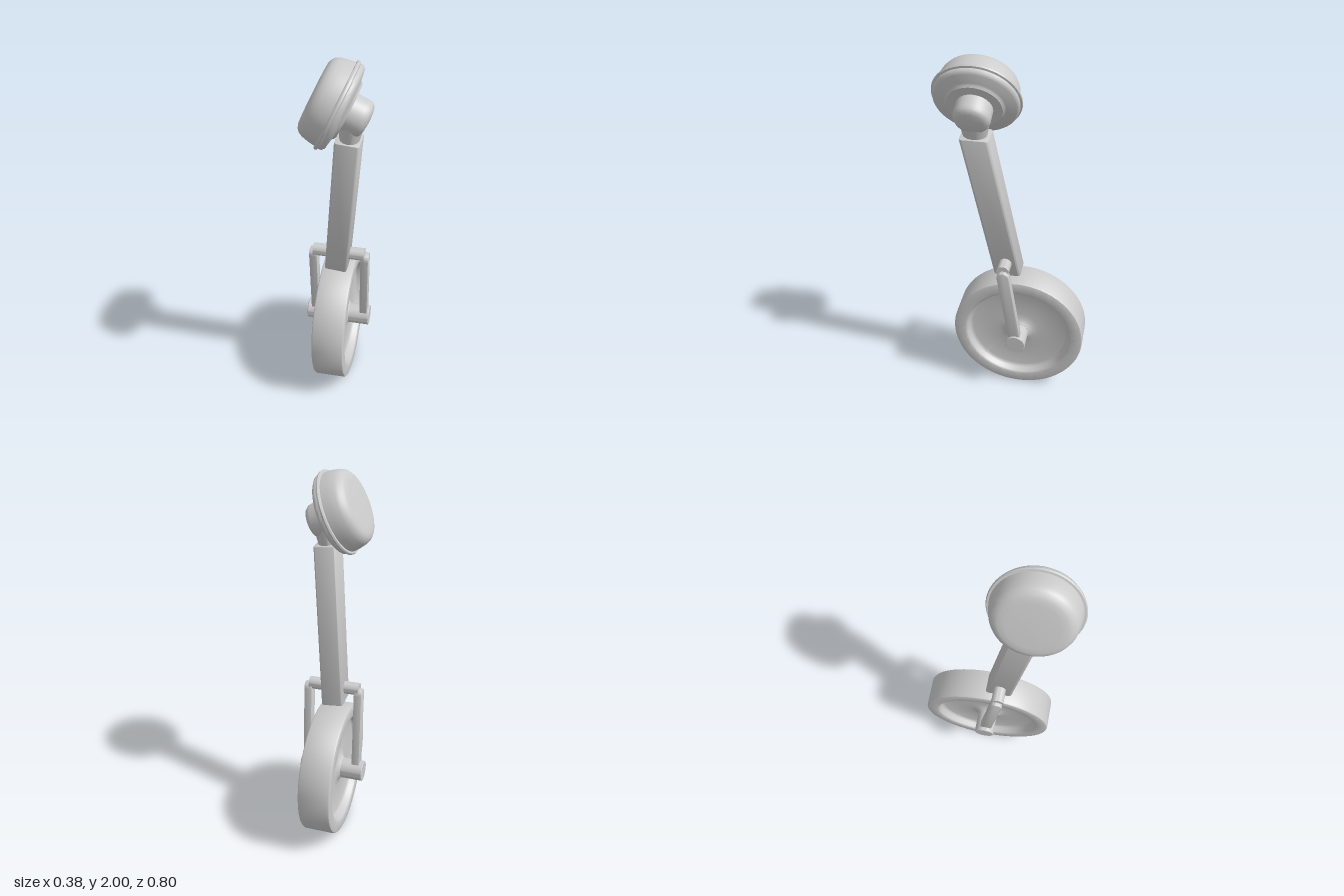
import * as THREE from 'three';
import { toCreasedNormals } from 'three/addons/utils/BufferGeometryUtils.js';

const material = new THREE.MeshStandardMaterial({ color: 0xcccccc });

function part(name, geometry, x = 0, y = 0, z = 0) {
  const mesh = new THREE.Mesh(toCreasedNormals(geometry, 0.6), material);
  mesh.name = name;
  mesh.position.set(x, y, z);
  return mesh;
}

// Lathe from [radius, height] pairs, listed from bottom to top
function turned(points, segments = 64) {
  return new THREE.LatheGeometry(points.map(([r, h]) => new THREE.Vector2(r, h)), segments);
}

// Rectangle with rounded corners, centred on x, starting at y0
function roundedRect(w, h, r, y0) {
  const s = new THREE.Shape();
  const x = w / 2, top = y0 + h;
  s.moveTo(-x + r, y0);
  s.absarc(x - r, y0 + r, r, -Math.PI / 2, 0);
  s.absarc(x - r, top - r, r, 0, Math.PI / 2);
  s.absarc(-x + r, top - r, r, Math.PI / 2, Math.PI);
  s.absarc(-x + r, y0 + r, r, Math.PI, Math.PI * 1.5);
  return s;
}

export function createModel() {
  const model = new THREE.Group();
  model.name = 'wheelLeg';
  const axleY = 0.373, axleZ = -0.03;

  // Wheel with a raised rim and a dished disc swelling at the hub
  const half = [
    [0, 0.06], [0.058, 0.06], [0.068, 0.05], [0.085, 0.042], [0.115, 0.038], [0.27, 0.042],
    [0.282, 0.046], [0.29, 0.056], [0.297, 0.08], [0.302, 0.086], [0.308, 0.088],
    [0.36, 0.088], [0.368, 0.085], [0.372, 0.078],
  ];
  const wheel = part('wheel',
    turned([...half.map(([r, h]) => [r, -h]), ...half.slice().reverse()], 96),
    -0.0125, axleY, axleZ);
  wheel.rotation.z = -Math.PI / 2;
  model.add(wheel);

  // Axle
  const axle = part('axle',
    turned([[0, -0.179], [0.054, -0.179], [0.057, -0.176], [0.057, 0.176], [0.054, 0.179], [0, 0.179]], 40),
    -0.016, axleY, axleZ);
  axle.rotation.z = -Math.PI / 2;
  model.add(axle);

  // Fork: two round-ended arms and a crossbar
  for (const [name, x] of [['rightForkArm', -0.152], ['leftForkArm', 0.13]]) {
    const geometry = new THREE.ExtrudeGeometry(roundedRect(0.066, 0.535, 0.0329, -0.033), {
      depth: 0.035, bevelSize: 0.004, bevelOffset: -0.004, bevelThickness: 0.004, bevelSegments: 2, curveSegments: 10,
    });
    geometry.translate(0, 0, -0.0175).rotateY(Math.PI / 2);
    const arm = part(name, geometry, x, axleY, axleZ);
    arm.rotation.set(0.14, 0, -0.02);
    model.add(arm);
  }
  const crossbar = part('forkCrossbar', new THREE.CylinderGeometry(0.034, 0.034, 0.28, 32), -0.003, 0.865, 0.04);
  crossbar.rotation.z = Math.PI / 2;
  model.add(crossbar);

  // Leg: soft-edged square bar, slanted forward with level ends
  const legLength = 0.852;
  const legGeometry = new THREE.ExtrudeGeometry(roundedRect(0.12, 0.146, 0.015, -0.073), {
    depth: legLength - 0.008, bevelSize: 0.004, bevelOffset: -0.004, bevelThickness: 0.004, bevelSegments: 2, curveSegments: 5,
  });
  legGeometry.translate(0, 0, 0.004).rotateX(-Math.PI / 2);
  legGeometry.applyMatrix4(new THREE.Matrix4().set(1, 0, 0, 0, 0, 1, 0, 0, 0, 0.167, 1, 0, 0, 0, 0, 1));
  const leg = part('leg', legGeometry, -0.011, 0.784, 0.033);
  leg.rotation.z = -0.098;
  model.add(leg);

  // Neck between the leg and the joint knob
  const neck = part('neck', new THREE.CylinderGeometry(0.062, 0.045, 0.1, 32), 0.078, 1.665, 0.178);
  neck.scale.z = 1.25;
  neck.rotation.z = -0.098;
  model.add(neck);

  // Head: cushioned disc with a flange, and the joint knob on its back
  const head = new THREE.Group();
  head.name = 'head';
  head.position.set(0.03, 1.787, 0.178);
  head.rotation.z = -THREE.MathUtils.degToRad(115);
  head.add(part('headPad', turned([
    [0, -0.138], [0.12, -0.137], [0.15, -0.135], [0.17, -0.128], [0.185, -0.115], [0.195, -0.095],
    [0.203, -0.06], [0.207, -0.026], [0.217, -0.025], [0.221, -0.018], [0.219, -0.009], [0.21, -0.006],
    [0.212, 0.002], [0.208, 0.013], [0.197, 0.022], [0.15, 0.03], [0.143, 0.034], [0.135, 0.043], [0, 0.045],
  ], 80)));
  head.add(part('jointKnob', turned([
    [0.09, 0.02], [0.09, 0.105], [0.087, 0.121], [0.078, 0.133], [0.06, 0.141], [0.03, 0.145], [0, 0.146],
  ], 48)));
  model.add(head);

  return model;
}
